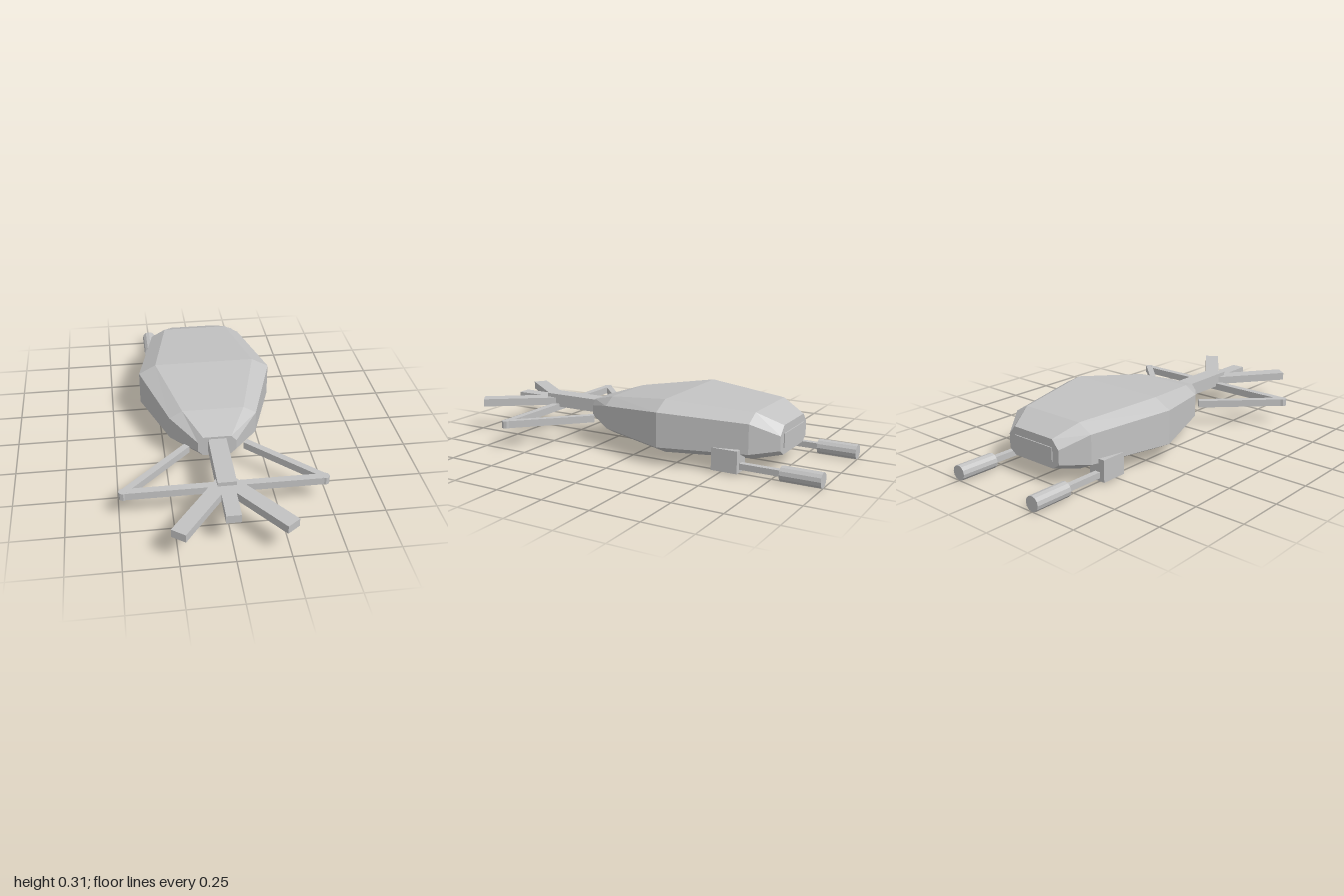
import * as THREE from 'three';

export function createModel() {
  const model = new THREE.Group();
  const grey = new THREE.MeshStandardMaterial({ color: 0xc2c2c2, flatShading: true });
  grey.name = 'hull grey';

  const add = (geometry, name, x = 0, y = 0, z = 0) => {
    const mesh = new THREE.Mesh(geometry, grey);
    mesh.name = name;
    mesh.position.set(x, y, z);
    model.add(mesh);
    return mesh;
  };
  const box = (name, w, h, d, x, y, z) => add(new THREE.BoxGeometry(w, h, d), name, x, y, z);

  // Horizontal bar between two [x, z] points
  const bar = (name, a, b, width, height, y) => {
    const dx = b[0] - a[0], dz = b[1] - a[1];
    const mesh = box(name, width, height, Math.hypot(dx, dz), (a[0] + b[0]) / 2, y, (a[1] + b[1]) / 2);
    mesh.rotation.y = Math.atan2(dx, dz);
  };

  // Hull: eight-sided sections, nose to tail
  // z, half width, half width of roof, bottom, lower side, upper side, top
  const sections = [
    [0.352, 0.095, 0.07, 0.105, 0.13, 0.18, 0.21],
    [0.185, 0.22, 0.155, 0.071, 0.107, 0.224, 0.262],
    [-0.19, 0.348, 0.26, 0.048, 0.093, 0.267, 0.315],
    [-0.63, 0.25, 0.175, 0.06, 0.098, 0.246, 0.287],
    [-0.755, 0.165, 0.125, 0.086, 0.113, 0.185, 0.23],
  ].map(([z, w, r, bottom, lo, hi, top]) => [
    [w, lo], [w, hi], [r, top], [-r, top], [-w, hi], [-w, lo], [-r, bottom], [r, bottom],
  ].map(([x, y]) => [x, y, z]));
  const points = [];
  const tri = (...corners) => corners.forEach((c) => points.push(...c));
  for (let s = 0; s < sections.length - 1; s++) {
    const a = sections[s], b = sections[s + 1];
    for (let i = 0; i < 8; i++) {
      const j = (i + 1) % 8;
      tri(a[i], b[i], a[j]);
      tri(a[j], b[i], b[j]);
    }
  }
  const nose = sections[0], tail = sections[sections.length - 1];
  for (let i = 1; i < 7; i++) {
    tri(nose[0], nose[i], nose[i + 1]);
    tri(tail[0], tail[i + 1], tail[i]);
  }
  const hull = new THREE.BufferGeometry();
  hull.setAttribute('position', new THREE.Float32BufferAttribute(points, 3));
  hull.computeVertexNormals();
  add(hull, 'hull');

  // Belly hatch and tail panel
  box('bellyPlate', 0.25, 0.015, 0.5, 0, 0.046, -0.22);
  box('bellyHatch', 0.17, 0.01, 0.39, 0, 0.037, -0.215);
  box('tailPanel', 0.25, 0.07, 0.008, 0, 0.155, -0.756);

  // Front boom and central prong
  box('boom', 0.09, 0.07, 0.36, 0, 0.163, 0.512);
  box('centreProng', 0.07, 0.041, 0.26, 0, 0.157, 0.77);

  // Cross bar of the front frame
  box('crossBar', 0.95, 0.037, 0.037, 0, 0.126, 0.634);

  for (const side of [1, -1]) {
    const label = side > 0 ? 'left' : 'right';
    // Splayed prong and frame brace
    bar(label + 'Prong', [side * 0.01, 0.652], [side * 0.252, 0.977], 0.075, 0.041, 0.157);
    bar(label + 'Brace', [side * 0.147, 0.312], [side * 0.475, 0.634], 0.034, 0.037, 0.126);
    add(new THREE.CylinderGeometry(0.022, 0.022, 0.038, 8), label + 'FrameJoint', side * 0.475, 0.126, 0.634);

    // Rear thruster on its bracket
    box(label + 'Bracket', 0.091, 0.111, 0.135, side * 0.246, 0.064, -0.525);
    box(label + 'Rod', 0.03, 0.03, 0.24, side * 0.25, 0.039, -0.7);
    add(new THREE.CylinderGeometry(0.038, 0.038, 0.2, 12), label + 'Thruster', side * 0.25, 0.038, -0.9).rotation.x = Math.PI / 2;
  }
  return model;
}
